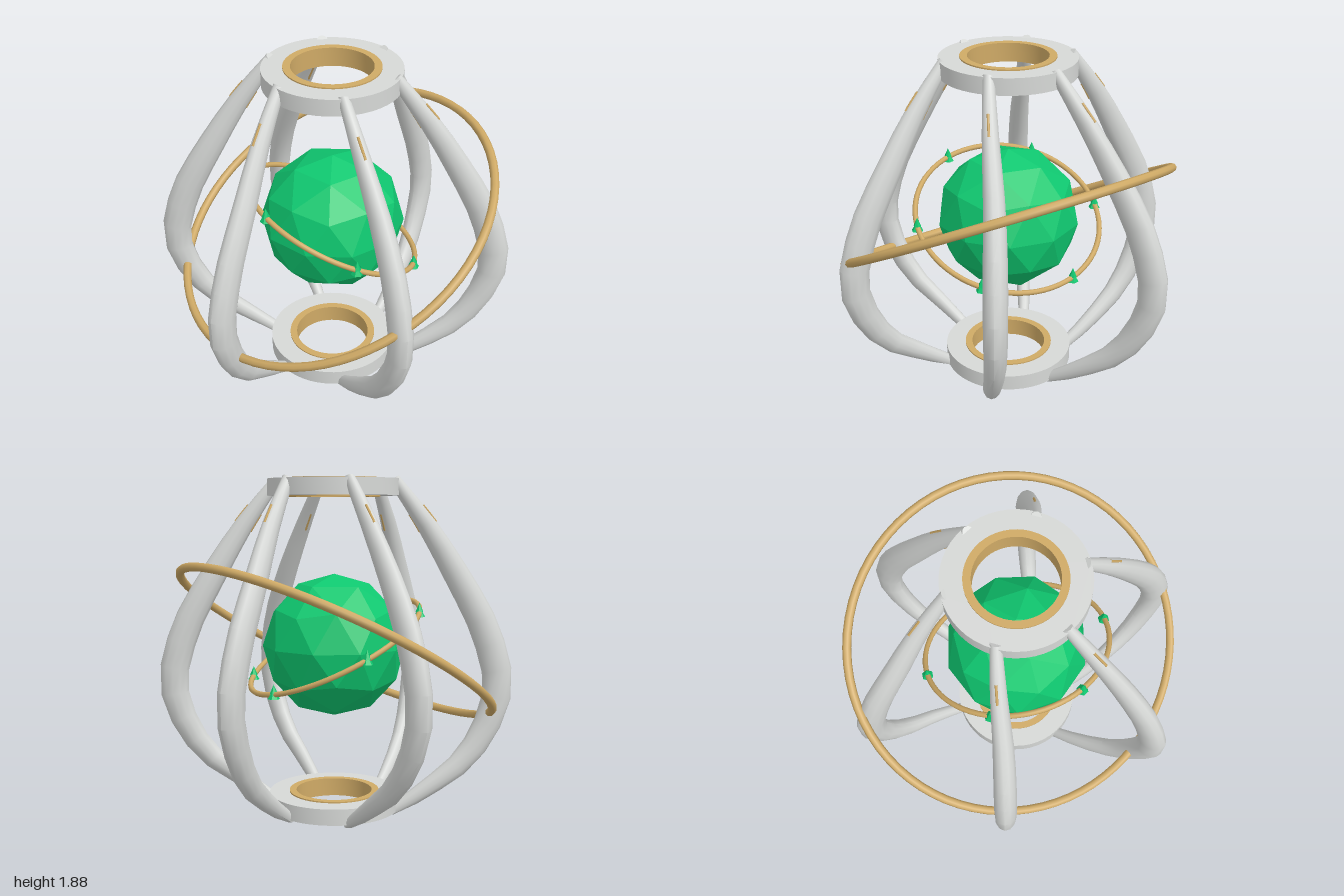
import * as THREE from 'three';
import { toCreasedNormals } from 'three/addons/utils/BufferGeometryUtils.js';

const mat = (name, color, flatShading = false) => {
  const m = new THREE.MeshStandardMaterial({ color, flatShading });
  m.name = name;
  return m;
};

const CENTRE_Y = 0.95;

// Flat washer with sharp rims, from y0 to y1
function washer(inner, outer, y0, y1) {
  const shape = new THREE.Shape().absarc(0, 0, outer, 0, Math.PI * 2, false);
  shape.holes.push(new THREE.Path().absarc(0, 0, inner, 0, Math.PI * 2, true));
  const g = new THREE.ExtrudeGeometry(shape, { depth: y1 - y0, bevelEnabled: false, curveSegments: 24 });
  g.rotateX(-Math.PI / 2).translate(0, y0, 0);
  return toCreasedNormals(g, 0.6);
}

// Strut centre line: radius, height, twist in degrees
const STRUT = [
  [0.335, 1.865, 0], [0.51, 1.62, 7], [0.68, 1.34, 11], [0.835, 1.05, 12.5], [0.915, 0.75, 12.8],
  [0.875, 0.55, 12.5], [0.74, 0.32, 10.5], [0.53, 0.15, 6], [0.335, 0.015, 0],
];
const strutCurve = new THREE.CatmullRomCurve3(STRUT.map(([r, y, deg]) => {
  const a = THREE.MathUtils.degToRad(deg);
  return new THREE.Vector3(r * Math.cos(a), y, -r * Math.sin(a));
}));

// Centre, outward and sideways axes and half widths of the strut at u
function strutFrame(u) {
  const c = strutCurve.getPointAt(u);
  const t = strutCurve.getTangentAt(u);
  const side = new THREE.Vector3(c.z, 0, -c.x).normalize();
  const out = new THREE.Vector3().crossVectors(t, side).normalize();
  const swell = Math.sin(Math.PI * u);
  return { c, side, out, w: 0.033 + 0.05 * swell, d: 0.03 + 0.032 * swell };
}

// Swelling oval strut with closed ends
function strutGeometry() {
  const rings = 15, sides = 12, pos = [], idx = [];
  for (let i = 0; i <= rings; i++) {
    const f = strutFrame(i / rings);
    for (let j = 0; j < sides; j++) {
      const a = (j / sides) * Math.PI * 2;
      const p = f.c.clone().addScaledVector(f.out, f.w * Math.cos(a)).addScaledVector(f.side, f.d * Math.sin(a));
      pos.push(p.x, Math.max(p.y, 0), p.z);
    }
  }
  for (let i = 0; i < rings; i++) {
    for (let j = 0; j < sides; j++) {
      const k = (j + 1) % sides;
      const a = i * sides + j, b = i * sides + k, c = a + sides, d = b + sides;
      idx.push(a, c, b, b, c, d);
    }
  }
  const last = rings * sides;
  for (let j = 1; j < sides - 1; j++) {
    idx.push(0, j, j + 1, last, last + j + 1, last + j);
  }
  const g = new THREE.BufferGeometry();
  g.setAttribute('position', new THREE.Float32BufferAttribute(pos, 3));
  g.setIndex(idx);
  return toCreasedNormals(g, 0.7);
}

// Slim inlay lying on the outer (1) or inner (-1) face of a strut
function inlayGeometry(face) {
  const pts = [0.09, 0.115, 0.14].map((u) => {
    const f = strutFrame(u);
    return f.c.addScaledVector(f.out, face * (f.w - 0.003));
  });
  return new THREE.TubeGeometry(new THREE.CatmullRomCurve3(pts), 4, 0.007, 6);
}

// Torus whose highest point lies towards (dx, dz)
function tiltedRing(name, radius, tube, dx, dz, slope, material) {
  const ring = new THREE.Mesh(new THREE.TorusGeometry(radius, tube, 8, 72), material);
  const normal = new THREE.Vector3(-slope * dx, 1, -slope * dz).normalize();
  ring.quaternion.setFromUnitVectors(new THREE.Vector3(0, 0, 1), normal);
  ring.position.y = CENTRE_Y;
  ring.name = name;
  return ring;
}

export function createModel() {
  const shell = mat('pale grey shell', 0xd6d8d6);
  const gold = mat('soft gold', 0xcfaa66);
  const green = mat('emerald green', 0x0fc870, true);
  const model = new THREE.Group();
  model.name = 'cageWithOrb';
  const add = (name, geometry, material, parent = model) => {
    const m = new THREE.Mesh(geometry, material);
    m.name = name;
    parent.add(m);
    return m;
  };

  // Collars with gold liners, top and bottom
  for (const [label, y] of [['top', 1.825], ['bottom', 0.065]]) {
    add(label + 'Collar', washer(0.245, 0.367, y - 0.045, y + 0.045), shell);
    add(label + 'Liner', washer(0.215, 0.255, y - 0.052, y + 0.052), gold);
  }

  // Six struts with their inlays
  const strutGeo = strutGeometry();
  const inlays = [inlayGeometry(1), inlayGeometry(-1)];
  for (let i = 0; i < 6; i++) {
    const strut = new THREE.Group();
    strut.name = 'strut' + (i + 1);
    strut.rotation.y = (i * Math.PI) / 3;
    add('strutBody', strutGeo, shell, strut);
    add('outerInlay', inlays[0], gold, strut);
    add('innerInlay', inlays[1], gold, strut);
    model.add(strut);
  }

  // Faceted orb standing on one of its corners
  const orbGeo = new THREE.IcosahedronGeometry(0.4, 1);
  orbGeo.rotateZ(Math.atan(2 / (1 + Math.sqrt(5)))).rotateY(Math.PI);
  add('orb', orbGeo, green).position.y = CENTRE_Y;

  // Orbit rings
  model.add(tiltedRing('outerOrbit', 0.943, 0.024, 0.62, -0.785, 0.565, gold));
  const dx = -0.8, dz = 0.6, slope = 0.51;
  model.add(tiltedRing('innerOrbit', 0.522, 0.015, dx, dz, slope, gold));

  // Six small two-tier trees on the inner orbit
  const lower = new THREE.ConeGeometry(0.033, 0.055, 6);
  const upper = new THREE.ConeGeometry(0.022, 0.05, 6);
  const orbitAngles = [0, 64, 125, 180, 244, 305];
  for (const deg of orbitAngles) {
    const a = THREE.MathUtils.degToRad(deg);
    const x = Math.cos(a), z = -Math.sin(a);
    const rise = slope * (x * dx + z * dz);
    const r = 0.522 / Math.sqrt(1 + rise * rise);
    const tree = new THREE.Group();
    tree.name = 'tree';
    tree.position.set(x * r, CENTRE_Y + rise * r, z * r);
    add('lowerTier', lower, green, tree).position.y = 0.005;
    add('upperTier', upper, green, tree).position.y = 0.03;
    model.add(tree);
  }
  return model;
}
